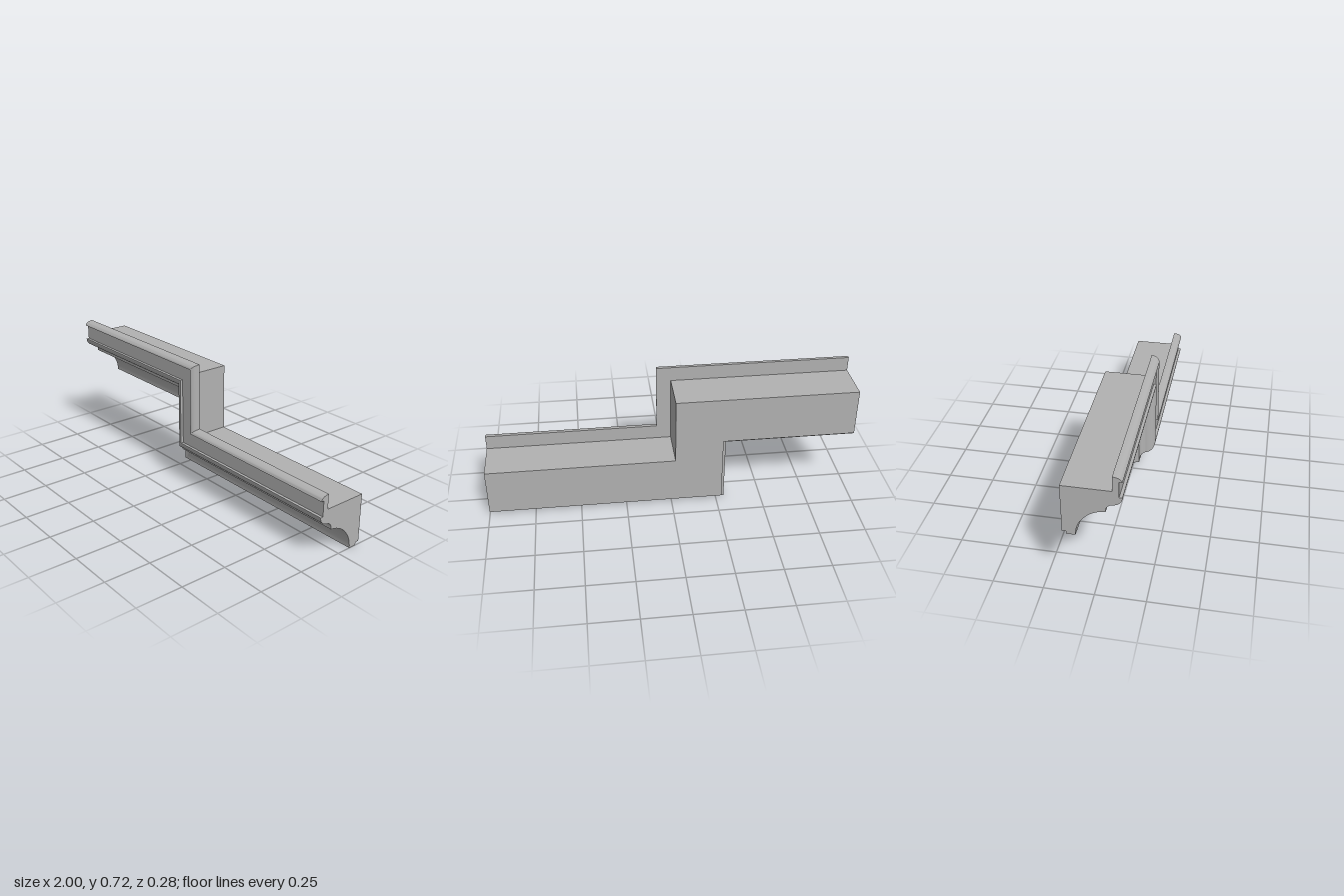
import * as THREE from 'three';
import { toCreasedNormals } from 'three/addons/utils/BufferGeometryUtils.js';

// Points on an elliptical arc, angles in degrees
function arc(cz, cv, rz, rv, from, to, steps) {
  return Array.from({ length: steps + 1 }, (_, i) => {
    const a = THREE.MathUtils.degToRad(from + (to - from) * i / steps);
    return new THREE.Vector2(cz + rz * Math.cos(a), cv + rv * Math.sin(a));
  });
}

const P = (z, v) => new THREE.Vector2(z, v);

// Moulding cross-section: x = depth (z), y = distance v from the lower edge
const profile = [
  P(-0.14, 0.016), P(-0.12, 0.016), P(-0.12, 0),
  ...arc(0.075, 0, 0.152, 0.157, 180, 94, 18),       // large cove
  P(0.065, 0.168),
  ...arc(0.1, 0.168, 0.035, 0.03, 180, 90, 8).slice(1), // small cove
  ...arc(0.095, 0.245, 0.045, 0.046, -75, 0, 10),    // lower bead
  P(0.125, 0.245), P(0.125, 0.328),                  // recessed fascia
  ...arc(0.095, 0.328, 0.045, 0.026, 0, 90, 10),     // upper rounded lip
  P(0.095, 0.275), P(-0.14, 0.275),                  // ledge behind the lip
];

// Sections along the stepped path; the middle two are 45-degree mitres
const stepX = -0.297, rise = 0.366;
const sections = [
  (p) => [-1, rise + p.y, p.x],
  (p) => [stepX + p.y, rise + p.y, p.x],
  (p) => [stepX + p.y, p.y, p.x],
  (p) => [1, p.y, p.x],
];

// One straight length between two sections, with optional end caps
function lengthOfMoulding(a, b, capStart, capEnd) {
  const pos = [];
  profile.forEach((p, i) => {
    const q = profile[(i + 1) % profile.length];
    pos.push(...a(p), ...b(p), ...b(q), ...a(p), ...b(q), ...a(q));
  });
  for (const [i, j, k] of THREE.ShapeUtils.triangulateShape(profile, [])) {
    if (capStart) pos.push(...a(profile[i]), ...a(profile[j]), ...a(profile[k]));
    if (capEnd) pos.push(...b(profile[i]), ...b(profile[k]), ...b(profile[j]));
  }
  const geometry = new THREE.BufferGeometry();
  geometry.setAttribute('position', new THREE.Float32BufferAttribute(pos, 3));
  return toCreasedNormals(geometry, 0.5);
}

export function createModel() {
  const group = new THREE.Group();
  group.name = 'steppedMoulding';
  const material = new THREE.MeshStandardMaterial({ color: 0xb2b2b2 });
  material.name = 'plasterGrey';

  ['upperRun', 'riser', 'lowerRun'].forEach((name, i) => {
    const geometry = lengthOfMoulding(sections[i], sections[i + 1], i === 0, i === 2);
    const mesh = new THREE.Mesh(geometry, material);
    mesh.name = name;
    group.add(mesh);
  });
  return group;
}
